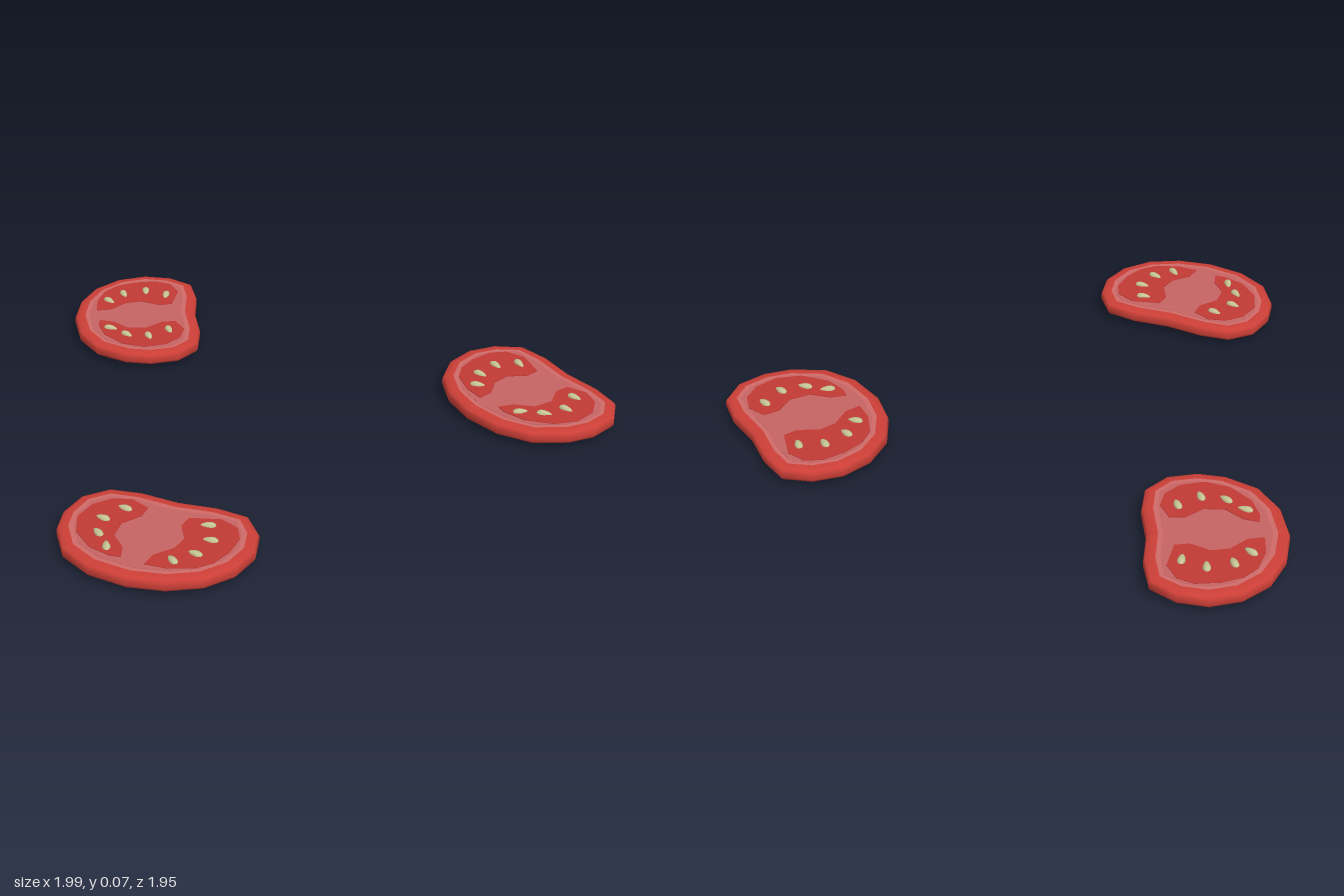
import * as THREE from 'three';

const UNIT = 187; // plan coordinates per model unit
const mat = (name, color) => new THREE.MeshStandardMaterial({ name, color });

// Plan points [x, z], clockwise seen from above, relative to the slice centre
const OUTLINE = [[-32, -49], [-12, -45], [10, -35], [34, -29], [52, -20], [60, -3], [57, 16], [48, 31],
  [30, 45], [7, 49], [-18, 44], [-38, 33], [-53, 17], [-60, -3], [-58, -23], [-48, -39]];
const POCKETS = [
  [[-36, -34], [-23, -35], [-7, -24], [-9, -15], [-19, -6], [-21, 5], [-16, 18], [-18, 28],
    [-31, 23], [-43, 13], [-48, 2], [-48, -12], [-44, -26]],
  [[19, -17], [32, -18], [42, -11], [47, 1], [45, 16], [35, 28], [18, 35], [3, 34], [-3, 31],
    [3, 23], [15, 17], [20, 5], [16, -8]],
];
// Seeds: x, z, heading in degrees
const SEEDS = [[-21, -25, 30], [-32, -14, 20], [-34, 2, 5], [-28, 15, -22],
  [29, -8, 5], [32, 8, 5], [24, 21, -22], [11, 28, -45]];

// Moves the outline inwards by a constant distance
function inset(points, d) {
  const n = points.length;
  return points.map(([x, z], i) => {
    const p = points[(i + n - 1) % n], q = points[(i + 1) % n];
    const tx = q[0] - p[0], tz = q[1] - p[1], l = Math.hypot(tx, tz);
    return [x - tz / l * d, z + tx / l * d];
  });
}

// Flat plate of the given half height, lying in the xz plane
function plate(points, half) {
  const shape = new THREE.Shape(points.map(([x, z]) => new THREE.Vector2(x / UNIT, -z / UNIT)));
  return new THREE.ExtrudeGeometry(shape, { depth: half * 2, bevelEnabled: false })
    .rotateX(-Math.PI / 2).translate(0, -half, 0);
}

// Rounded skin wall lofted through inset copies of the outline
function skinWall() {
  const rings = [[7, 0.023], [4, 0.0225], [1, 0.018], [0, 0.009], [0, -0.009], [1, -0.018], [4, -0.0225], [7, -0.023]];
  const n = OUTLINE.length, pos = [], idx = [];
  rings.forEach(([d, y], r) => {
    inset(OUTLINE, d).forEach(([x, z]) => pos.push(x / UNIT, y, z / UNIT));
    if (r === 0) return;
    for (let i = 0; i < n; i++) {
      const a = (r - 1) * n + i, b = (r - 1) * n + (i + 1) % n;
      idx.push(a, b, a + n, b, b + n, a + n);
    }
  });
  const g = new THREE.BufferGeometry();
  g.setAttribute('position', new THREE.Float32BufferAttribute(pos, 3));
  g.setIndex(idx);
  g.computeVertexNormals();
  return g;
}

// Teardrop seed, narrower towards +x
function seedGeometry() {
  const g = new THREE.SphereGeometry(1, 8, 6).rotateZ(Math.PI / 2);
  const p = g.attributes.position;
  for (let i = 0; i < p.count; i++) {
    const x = p.getX(i), k = 1 - 0.35 * x;
    p.setXYZ(i, x * 0.026, p.getY(i) * k * 0.012, p.getZ(i) * k * 0.013);
  }
  g.computeVertexNormals();
  return g;
}

export function createModel() {
  const skin = mat('skin red', 0xcc3f37);
  const rind = mat('rind pink', 0xcf6a68);
  const flesh = mat('flesh pink', 0xc66363);
  const pulp = mat('pulp red', 0xc23a35);
  const seedMat = mat('seed green', 0xc6c596);

  const parts = [
    ['skin', skinWall(), skin],
    ['rind', plate(inset(OUTLINE, 6), 0.0225), rind],
    ['flesh', plate(inset(OUTLINE, 10), 0.0235), flesh],
    ['pulpPocketLarge', plate(POCKETS[0], 0.026), pulp],
    ['pulpPocketSmall', plate(POCKETS[1], 0.026), pulp],
  ];
  const seedGeo = seedGeometry();

  function slice(name) {
    const g = new THREE.Group();
    g.name = name;
    const add = (partName, geo, material) => {
      const m = new THREE.Mesh(geo, material);
      m.name = partName;
      g.add(m);
      return m;
    };
    parts.forEach((p) => add(...p));
    // seeds on both cut faces
    for (const side of [1, -1]) {
      for (const [x, z, deg] of SEEDS) {
        const s = add('seed', seedGeo, seedMat);
        s.position.set(x / UNIT, side * 0.025, z / UNIT);
        s.rotation.y = -THREE.MathUtils.degToRad(deg);
      }
    }
    return g;
  }

  // Slices: name, x, z, turn in degrees, flipped over, scale
  const model = new THREE.Group();
  model.name = 'tomatoSlices';
  for (const [name, x, z, turn, flip, scale] of [
    ['backSlice', 0.676, -0.719, 0, 0, 1],
    ['rightSlice', -0.712, -0.352, 29.7, 0, 0.97],
    ['frontSlice', 0.218, 0.721, 2, Math.PI, 0.97],
  ]) {
    const s = slice(name);
    s.position.set(x, 0.039, z);
    s.rotation.set(0, -THREE.MathUtils.degToRad(turn), flip);
    s.scale.setScalar(scale);
    model.add(s);
  }
  return model;
}
